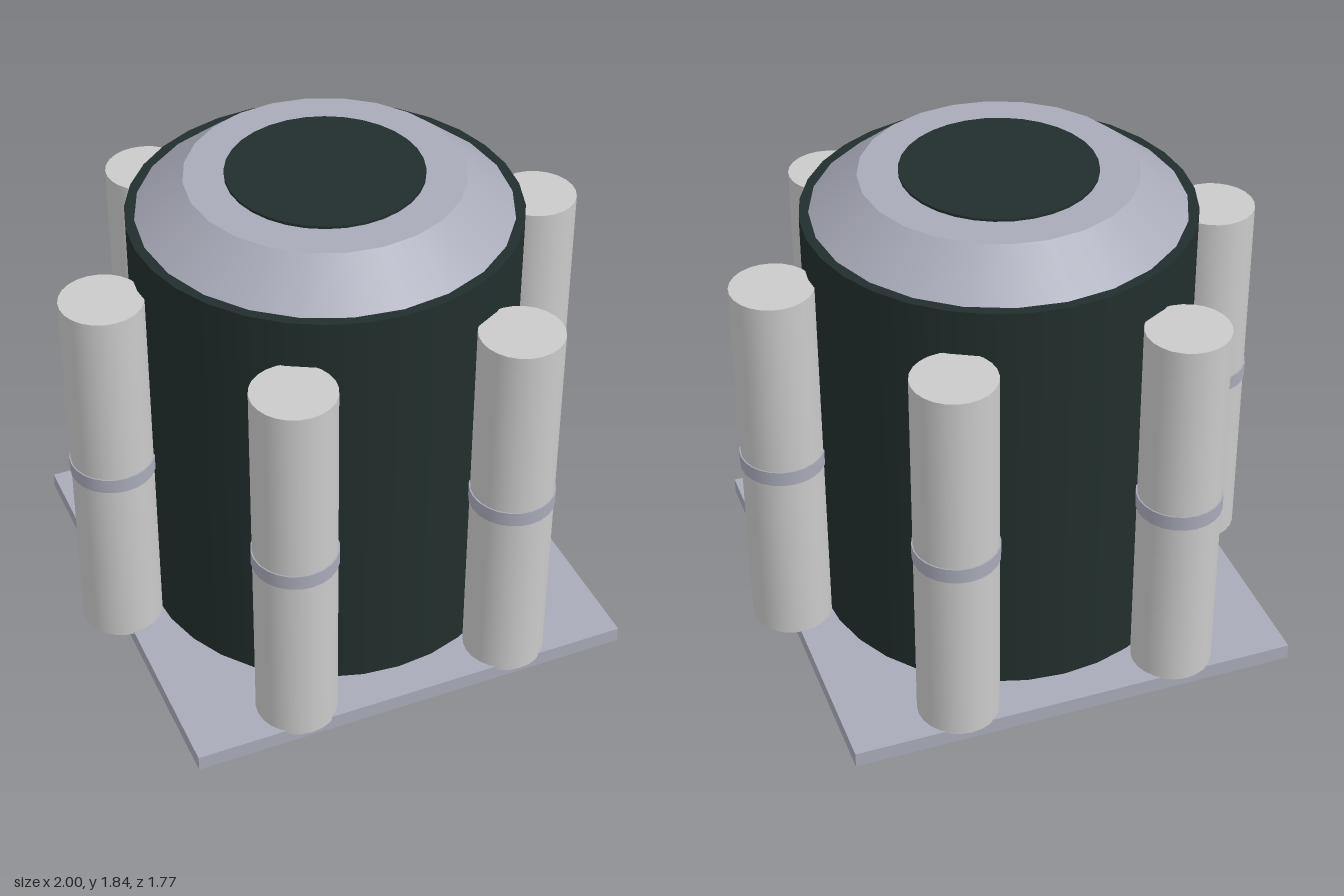
import * as THREE from 'three';

export function createModel() {
  const model = new THREE.Group();
  const material = (name, color) => {
    const m = new THREE.MeshStandardMaterial({ color });
    m.name = name;
    return m;
  };
  const darkGreen = material('dark green', 0x212e2d);
  const metal = material('blue grey metal', 0xa8aab8);
  const paleGrey = material('pale grey', 0xcacaca);

  const add = (name, geometry, mat, x, y, z, parent = model) => {
    const mesh = new THREE.Mesh(geometry, mat);
    mesh.name = name;
    mesh.position.set(x, y, z);
    parent.add(mesh);
    return mesh;
  };
  // Upright cylinder given by its bottom and top heights
  const drum = (name, rTop, rBottom, y0, y1, sides, mat, parent) =>
    add(name, new THREE.CylinderGeometry(rTop, rBottom, y1 - y0, sides), mat, 0, (y0 + y1) / 2, 0, parent);

  // Square base and central tank
  add('basePlate', new THREE.BoxGeometry(1.705, 0.06, 1.705), metal, 0, 0.03, 0);
  drum('tankBody', 0.71, 0.71, 0.06, 1.69, 32, darkGreen);
  drum('taperedLid', 0.5, 0.675, 1.69, 1.83, 24, metal);
  drum('topHatch', 0.355, 0.355, 1.83, 1.84, 32, darkGreen);

  // Six banded tubes around the tank, at slightly uneven heights
  const bottoms = [0.06, 0.046, 0.046, 0.052, 0.056, 0.054];
  bottoms.forEach((y0, i) => {
    const angle = (i * Math.PI) / 3;
    const tube = new THREE.Group();
    tube.name = 'sideTube' + (i + 1);
    tube.position.set(0.843 * Math.cos(angle), 0, 0.843 * Math.sin(angle));
    drum('tube', 0.152, 0.152, y0, y0 + 1.465, 24, paleGrey, tube);
    drum('tubeBand', 0.157, 0.157, 0.767, 0.825, 24, metal, tube);
    model.add(tube);
  });

  return model;
}
